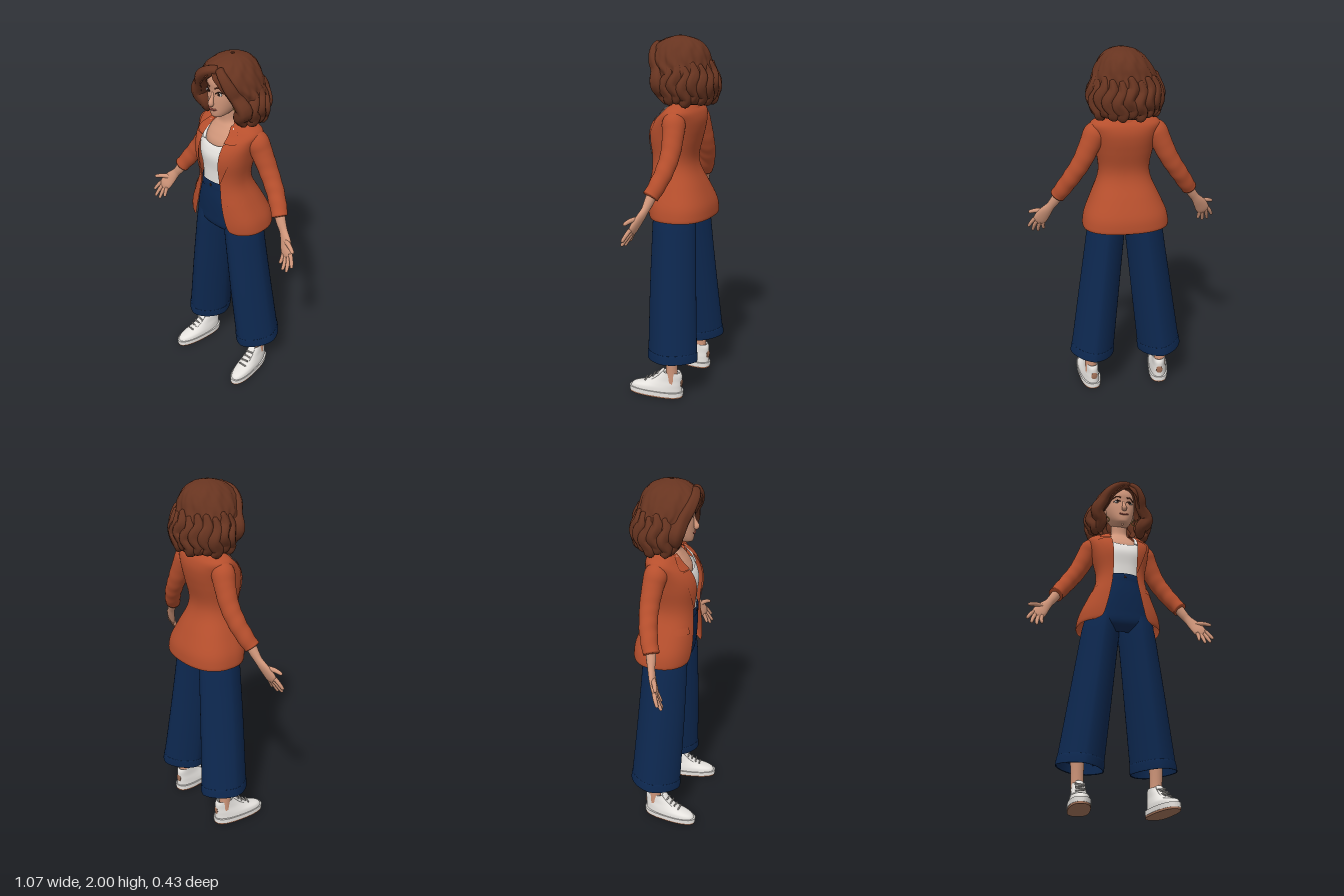
import * as THREE from 'three';
import { mergeVertices } from 'three/addons/utils/BufferGeometryUtils.js';

const paint = (name, color) => new THREE.MeshStandardMaterial({ name, color, side: THREE.DoubleSide });
const M = {
  skin: paint('skin', 0xd0967a), hair: paint('chestnut', 0x673420), rust: paint('rust', 0xb64f2d),
  navy: paint('navy', 0x0d2850), white: paint('white', 0xe6e3df), grey: paint('grey', 0xb9b5b0),
  tan: paint('tan', 0xa4735a), gold: paint('gold', 0xd0a050), dark: paint('dark', 0x2a1812), lip: paint('lip', 0xa9584c),
};
const mesh = (parent, name, geo, mat, pos = [0, 0, 0]) => {
  const m = new THREE.Mesh(geo, mat);
  m.name = name;
  m.position.set(...pos);
  parent.add(m);
  return m;
};

// Smooth interpolation through a list of rows, t from 0 to 1
function at(rows, t) {
  const n = rows.length - 1, k = Math.min(n - 1, Math.floor(t * n)), f = t * n - k;
  const [a, b, c, d] = [-1, 0, 1, 2].map(o => rows[Math.max(0, Math.min(n, k + o))]);
  return b.map((_, i) => b[i] + 0.5 * f * (c[i] - a[i] + f * (2 * a[i] - 5 * b[i] + 4 * c[i] - d[i] + f * (3 * (b[i] - c[i]) + d[i] - a[i]))));
}

// Grid surface from fn(u, v) -> [x, y, z]
function sheet(nu, nv, fn) {
  const pos = [], idx = [];
  for (let j = 0; j <= nv; j++) for (let i = 0; i <= nu; i++) pos.push(...fn(i / nu, j / nv));
  for (let j = 0; j < nv; j++) for (let i = 0; i < nu; i++) {
    const p = j * (nu + 1) + i, q = p + nu + 1;
    idx.push(p, p + 1, q + 1, p, q + 1, q);
  }
  let g = new THREE.BufferGeometry();
  g.setAttribute('position', new THREE.Float32BufferAttribute(pos, 3));
  g.setIndex(idx);
  g = mergeVertices(g, 1e-5);
  g.computeVertexNormals();
  return g;
}

// Rows go upward: [y, half width, front z, back z, half width of the front opening]
const spow = (v, p) => Math.sign(v) * Math.abs(v) ** p;
function loft(rows, e = 2, mod = p => p, nu = 64, nv = 40) {
  return sheet(nu, nv, (u, v) => {
    const [y, rx, zf, zb, ox = 0] = at(rows, v);
    const a0 = ox > 0 ? Math.asin(Math.min(1, ox / rx) ** (e / 2)) : 0;
    const a = a0 + u * (2 * Math.PI - 2 * a0);
    const p = [rx * spow(Math.sin(a), 2 / e), y, (zf + zb) / 2 + (zf - zb) / 2 * spow(Math.cos(a), 2 / e)];
    return mod(p, a, v);
  });
}
// Front z of a loft at x, y
function frontZ(rows, e, x, y) {
  let lo = 0, hi = 1;
  for (let i = 0; i < 24; i++) { const m = (lo + hi) / 2; if (at(rows, m)[0] < y) lo = m; else hi = m; }
  const [, rx, zf, zb] = at(rows, lo);
  return (zf + zb) / 2 + (zf - zb) / 2 * Math.max(0, 1 - Math.abs(x / rx) ** e) ** (1 / e);
}
// Tapered tube through points [x, y, z, radius, flatness]
function limb(pts, { round = true, fold = () => 1, nu = 14, nv = 24 } = {}) {
  const P = pts.map(p => [p[0], p[1], p[2], p[3], p[4] ?? 1]);
  return sheet(nu, nv, (u, v) => {
    const [x, y, z, r0, flat] = at(P, v);
    const b = at(P, Math.min(1, v + 0.01)), c = at(P, Math.max(0, v - 0.01));
    const T = new THREE.Vector3(b[0] - c[0], b[1] - c[1], b[2] - c[2]).normalize();
    const N = new THREE.Vector3(0, 0, 1).addScaledVector(T, -T.z).normalize();
    const S = new THREE.Vector3().crossVectors(N, T);
    let r = r0 * fold(v, u * 2 * Math.PI);
    if (round && v > 0.82) r *= Math.sqrt(Math.max(0, 1 - ((v - 0.82) / 0.18) ** 2));
    if (v === 0 || v === 1) r = 0;
    const A = u * 2 * Math.PI, p = S.multiplyScalar(Math.cos(A) * r).addScaledVector(N, Math.sin(A) * r * flat);
    return [x + p.x, y + p.y, z + p.z];
  });
}

const HEAD = [[1.685, 0.004, 0.09, 0.07], [1.69, 0.03, 0.107, 0.03], [1.71, 0.051, 0.113, -0.02], [1.745, 0.069, 0.115, -0.06],
  [1.79, 0.082, 0.115, -0.09], [1.83, 0.086, 0.112, -0.1], [1.88, 0.085, 0.115, -0.1], [1.93, 0.068, 0.09, -0.085], [1.97, 0.005, 0.01, -0.01]];
const BLAZER = [[1.03, 0.236, 0.14, -0.198, 0.16], [1.05, 0.238, 0.147, -0.2, 0.125], [1.11, 0.226, 0.152, -0.19, 0.105], [1.2, 0.186, 0.152, -0.15, 0.085],
  [1.29, 0.147, 0.145, -0.105, 0.07], [1.36, 0.14, 0.145, -0.095, 0.068], [1.45, 0.156, 0.154, -0.115, 0.075], [1.51, 0.167, 0.145, -0.128, 0.08],
  [1.56, 0.178, 0.115, -0.132, 0.08], [1.6, 0.188, 0.07, -0.123, 0.075], [1.625, 0.165, 0.045, -0.106, 0.068], [1.645, 0.11, 0.02, -0.088, 0.055], [1.657, 0.06, 0.0, -0.07, 0.04]];
const HAIR = [[1.645, 0.1, 0.03, -0.15, 0.085], [1.66, 0.15, 0.05, -0.18, 0.125], [1.7, 0.172, 0.08, -0.19, 0.135], [1.76, 0.18, 0.11, -0.188, 0.115],
  [1.82, 0.175, 0.13, -0.18, 0.09], [1.87, 0.16, 0.143, -0.17, 0.06], [1.91, 0.14, 0.143, -0.16, 0.02], [1.95, 0.11, 0.118, -0.135, 0], [1.98, 0.07, 0.07, -0.09, 0], [1.997, 0.008, 0, -0.02, 0]];

function buildHead(g) {
  mesh(g, 'head', loft(HEAD, 2.2), M.skin);
  mesh(g, 'nose', limb([[0, 1.825, 0.106, 0.008], [0, 1.795, 0.117, 0.01], [0, 1.77, 0.126, 0.015], [0, 1.757, 0.116, 0.012]]), M.skin);
  mesh(g, 'neckAndChest', loft([[1.45, 0.1, 0.1, -0.07], [1.53, 0.115, 0.103, -0.085], [1.575, 0.115, 0.083, -0.085],
    [1.615, 0.085, 0.056, -0.075], [1.645, 0.052, 0.042, -0.06], [1.7, 0.045, 0.045, -0.06], [1.75, 0.045, 0.045, -0.06]], 2.2), M.skin);
  const onFace = (x, y, d) => [x, y, frontZ(HEAD, 2.2, x, y) + d];
  const stroke = (pts, r) => new THREE.TubeGeometry(new THREE.CatmullRomCurve3(pts.map(p => new THREE.Vector3(...onFace(p[0], p[1], 0.002)))), 12, r, 6);
  for (const s of [-1, 1]) {
    const disc = (name, r, sx, sy, mat, d) => mesh(g, name, new THREE.SphereGeometry(r, 16, 10), mat, onFace(s * 0.037, 1.822, d)).scale.set(sx, sy, 0.3);
    disc('eyeWhite', 0.017, 1, 0.55, M.white, -0.001);
    disc('iris', 0.008, 1, 1, M.dark, 0.003);
    mesh(g, 'lashLine', stroke([[s * 0.018, 1.822], [s * 0.037, 1.833], [s * 0.058, 1.826]], 0.0025), M.dark);
    mesh(g, 'eyebrow', stroke([[s * 0.018, 1.85], [s * 0.04, 1.858], [s * 0.064, 1.848]], 0.0035), M.hair);
    mesh(g, 'ear', new THREE.SphereGeometry(0.022, 12, 10), M.skin, [s * 0.085, 1.79, 0]).scale.set(0.4, 1.3, 0.8);
    mesh(g, 'earring', new THREE.TorusGeometry(0.019, 0.0028, 8, 24), M.gold, [s * 0.088, 1.735, 0.035]);
  }
  mesh(g, 'lips', stroke([[-0.026, 1.739], [-0.01, 1.733], [0.01, 1.733], [0.026, 1.739]], 0.0048), M.lip);
}

function buildHair(g) {
  mesh(g, 'hairVolume', loft(HAIR, 2, (p, a, v) => {
    const w = 0.012 + 0.03 * (1 - v) * Math.min(1, v * 6);
    const k = 1 + w * (Math.sin(11 * a + 3 * Math.sin(24 * p[1])) + 0.5 * Math.sin(23 * a - 2 * Math.sin(31 * p[1])));
    return [p[0] * k + 0.02 * v * v * (v < 1 ? 1 : 0.9), p[1], (p[2] + 0.03) * k - 0.03];
  }, 120, 50), M.hair);
  const ridged = { fold: (v, a) => 1 + 0.09 * Math.sin(4 * a + 5 * v), nu: 20 };
  // Locks framing the face from an off-centre parting
  mesh(g, 'rightFringe', limb([[0.04, 1.95, 0.105, 0.02], [-0.02, 1.93, 0.12, 0.027], [-0.08, 1.885, 0.108, 0.032], [-0.115, 1.83, 0.08, 0.036],
    [-0.15, 1.765, 0.06, 0.04], [-0.118, 1.71, 0.045, 0.036], [-0.14, 1.645, 0.01, 0.03]], ridged), M.hair);
  mesh(g, 'leftFringe', limb([[0.035, 1.955, 0.1, 0.02], [0.075, 1.925, 0.115, 0.025], [0.105, 1.87, 0.1, 0.032], [0.12, 1.82, 0.075, 0.034],
    [0.16, 1.755, 0.055, 0.04], [0.122, 1.7, 0.04, 0.036], [0.13, 1.645, 0.01, 0.028]], ridged), M.hair);
  // Curled locks round the sides and back
  for (let i = 0; i < 13; i++) {
    const a = (75 + i * 17.5) * Math.PI / 180, drop = 0.012 * Math.sin(i * 2.4);
    const pts = [[1.86, 0.9, 0], [1.8, 0.97, 0.1], [1.745, 1.02, -0.06], [1.695, 0.93, 0.1], [1.65, 0.9, -0.05]].map(([y, k, da], j) =>
      [0.17 * k * Math.sin(a + da), y + drop, -0.035 + 0.148 * k * Math.cos(a + da), [0.012, 0.028, 0.035, 0.034, 0.028][j]]);
    mesh(g, 'curl', limb(pts, ridged), M.hair);
  }
}

function buildClothes(g) {
  mesh(g, 'camisole', loft([[1.28, 0.113, 0.126, -0.08], [1.38, 0.118, 0.128, -0.08], [1.46, 0.134, 0.136, -0.09], [1.51, 0.14, 0.126, -0.1], [1.55, 0.138, 0.11, -0.105]], 2.4,
    (p, a, v) => [p[0], p[1] - (p[2] > 0 ? 0.022 * v ** 3 * Math.max(0, 1 - (p[0] / 0.085) ** 2) : 0), p[2]]), M.white);
  mesh(g, 'trouserSeat', loft([[0.985, 0.08, 0.075, -0.1], [1.03, 0.19, 0.112, -0.14], [1.1, 0.188, 0.123, -0.14], [1.2, 0.152, 0.132, -0.12], [1.28, 0.12, 0.133, -0.09]], 2.4), M.navy);
  mesh(g, 'waistband', loft([[1.275, 0.124, 0.136, -0.092], [1.3, 0.121, 0.137, -0.09], [1.322, 0.118, 0.135, -0.087]], 2.4), M.navy);
  mesh(g, 'trouserButton', new THREE.SphereGeometry(0.008, 12, 8), M.dark, [0, 1.298, 0.137]).scale.z = 0.4;
  mesh(g, 'blazerBody', loft(BLAZER, 2.4, p => p, 72, 60), M.rust);
  mesh(g, 'blazerCollar', loft([[1.615, 0.108, 0.075, -0.112, 0.085], [1.645, 0.085, 0.05, -0.098, 0.062], [1.668, 0.066, 0.03, -0.078, 0.05]], 2), M.rust);
  // Overlay panel on the blazer front, rows [y, inner x, outer x]
  const panel = (rows, lift) => sheet(8, 20, (u, v) => {
    const [y, xi, xo] = at(rows, v), x = xi + (xo - xi) * u;
    return [x, y, frontZ(BLAZER, 2.4, x, y) + lift];
  });
  for (const s of [-1, 1]) {
    const side = new THREE.Group();
    side.name = s > 0 ? 'leftClothes' : 'rightClothes';
    side.scale.x = s;
    g.add(side);
    mesh(side, 'lapel', panel([[1.33, 0.068, 0.071], [1.4, 0.067, 0.098], [1.47, 0.07, 0.123], [1.55, 0.074, 0.148], [1.562, 0.074, 0.11]], 0.007), M.rust);
    mesh(side, 'collarLeaf', panel([[1.565, 0.074, 0.108], [1.572, 0.074, 0.135], [1.6, 0.07, 0.125], [1.635, 0.058, 0.09]], 0.009), M.rust);
    mesh(side, 'pocketFlap', panel([[1.212, 0.118, 0.172], [1.23, 0.118, 0.168], [1.248, 0.118, 0.16]], 0.007), M.rust);
    mesh(side, 'strap', limb([[0.075, 1.54, 0.104, 0.012, 0.3], [0.078, 1.585, 0.08, 0.01, 0.3], [0.075, 1.63, 0.04, 0.01, 0.3]]), M.white);
    // Sleeve with gathered folds toward the cuff
    mesh(side, 'sleeve', limb([[0.14, 1.575, -0.032, 0.052], [0.165, 1.55, -0.037, 0.062], [0.19, 1.5, -0.045, 0.057], [0.24, 1.4, -0.05, 0.051],
      [0.305, 1.3, -0.035, 0.047], [0.371, 1.2, 0.002, 0.042]],
      { round: false, nu: 28, nv: 60, fold: (v, a) => 1 + 0.035 * Math.max(0, v - 0.35) * 1.6 * Math.sin(52 * v + 1.5 * Math.sin(a)) }), M.rust);
    // Wide trouser leg with pressed creases and an open, turned hem
    const LEG = [[0.235, 0.125, 0.104, -0.188], [0.6, 0.117, 0.113, -0.162], [0.85, 0.111, 0.115, -0.146], [1.0, 0.107, 0.115, -0.138], [1.08, 0.098, 0.11, -0.13]];
    const place = (p, a, v) => [p[0] + 0.2 - 0.123 * (p[1] - 0.235), p[1] + (1 - v) ** 4 * (p[0] * 0.12 - p[2] * 0.06), p[2]];
    mesh(side, 'trouserLeg', loft(LEG, 1.65, place), M.navy);
    mesh(side, 'trouserHem', loft([[0.232, 0.122, 0.1, -0.184], [0.233, 0.128, 0.107, -0.191], [0.275, 0.126, 0.107, -0.187], [0.28, 0.122, 0.102, -0.182]], 1.65,
      (p, a) => place(p, a, 0.04)), M.navy);
  }
}

function buildHand(g) {
  mesh(g, 'forearmAndPalm', limb([[0.345, 1.24, -0.01, 0.03], [0.383, 1.175, 0.005, 0.027, 0.9], [0.408, 1.14, 0.014, 0.025, 0.75],
    [0.438, 1.1, 0.03, 0.035, 0.5], [0.462, 1.06, 0.048, 0.039, 0.42], [0.482, 1.025, 0.062, 0.034, 0.35]]), M.skin);
  const fingers = [[[0.492, 1.06], [0.531, 0.998], 0.085], [[0.482, 1.045], [0.508, 0.968], 0.1], [[0.465, 1.037], [0.478, 0.963], 0.095], [[0.448, 1.04], [0.447, 0.982], 0.08]];
  for (const [k, t, z] of fingers)
    mesh(g, 'finger', limb([[k[0], k[1], 0.054, 0.011], [(k[0] + t[0]) / 2 + 0.003, (k[1] + t[1]) / 2, (0.054 + z) / 2, 0.0105], [...t, z, 0.008]], { nu: 10, nv: 14 }), M.skin);
  mesh(g, 'thumb', limb([[0.435, 1.105, 0.03, 0.014], [0.485, 1.103, 0.055, 0.0125], [0.528, 1.088, 0.075, 0.009]], { nu: 10, nv: 14 }), M.skin);
}

function buildFoot(g) {
  mesh(g, 'ankle', limb([[0, 0.06, -0.04, 0.035], [0, 0.12, -0.042, 0.034], [0.002, 0.2, -0.042, 0.034], [0.004, 0.4, -0.04, 0.045]], { round: false }), M.skin);
  const shoe = new THREE.Group();
  shoe.name = 'shoe';
  shoe.rotation.y = 0.13;
  g.add(shoe);
  const slab = (name, rx, rz, y, h, mat) => {
    const pts = [];
    for (let i = 0; i < 48; i++) {
      const a = i / 48 * 2 * Math.PI, c = Math.cos(a);
      pts.push(new THREE.Vector2(rx * (1 - 0.1 * c) * spow(Math.sin(a), 0.8), rz * spow(c, 0.8)));
    }
    const geo = new THREE.ExtrudeGeometry(new THREE.Shape(pts), { depth: h, bevelEnabled: false });
    geo.rotateX(-Math.PI / 2);
    geo.scale(1, 1, -1);
    geo.index || geo.setIndex([...Array(geo.attributes.position.count).keys()].map(i => i - i % 3 + (3 - i % 3) % 3));
    geo.computeVertexNormals();
    mesh(shoe, name, geo, mat, [0, y, 0.054]);
  };
  slab('outsole', 0.056, 0.158, 0, 0.01, M.tan);
  slab('midsole', 0.058, 0.16, 0.01, 0.025, M.white);
  mesh(shoe, 'upper', loft([[0.03, 0.053, 0.207, -0.1], [0.055, 0.05, 0.19, -0.1], [0.075, 0.045, 0.125, -0.1], [0.1, 0.039, 0.075, -0.1],
    [0.13, 0.036, 0.035, -0.1], [0.15, 0.034, 0.012, -0.09], [0.14, 0.03, 0.0, -0.08]], 2.3), M.white);
  mesh(shoe, 'tongue', limb([[0, 0.07, 0.11, 0.022, 0.4], [0, 0.11, 0.052, 0.023, 0.4], [0, 0.158, 0.008, 0.022, 0.4]]), M.white);
  for (let i = 0; i < 4; i++) {
    const lace = mesh(shoe, 'lace', new THREE.CapsuleGeometry(0.0045, 0.04, 4, 8), M.grey, [0, 0.085 + i * 0.016, 0.114 - i * 0.024]);
    lace.rotation.z = Math.PI / 2 + (i % 2 ? 0.12 : -0.12);
  }
  mesh(shoe, 'heelTab', new THREE.SphereGeometry(0.024, 14, 10), M.tan, [0, 0.085, -0.098]).scale.set(0.8, 1, 0.2);
}

export function createModel() {
  const model = new THREE.Group();
  model.name = 'woman';
  buildHead(model);
  buildHair(model);
  buildClothes(model);
  for (const s of [-1, 1]) {
    const limbs = new THREE.Group();
    limbs.name = s > 0 ? 'leftLimbs' : 'rightLimbs';
    limbs.scale.x = s;
    model.add(limbs);
    buildHand(limbs);
    const foot = new THREE.Group();
    foot.name = 'foot';
    foot.position.x = 0.21;
    limbs.add(foot);
    buildFoot(foot);
  }
  return model;
}
